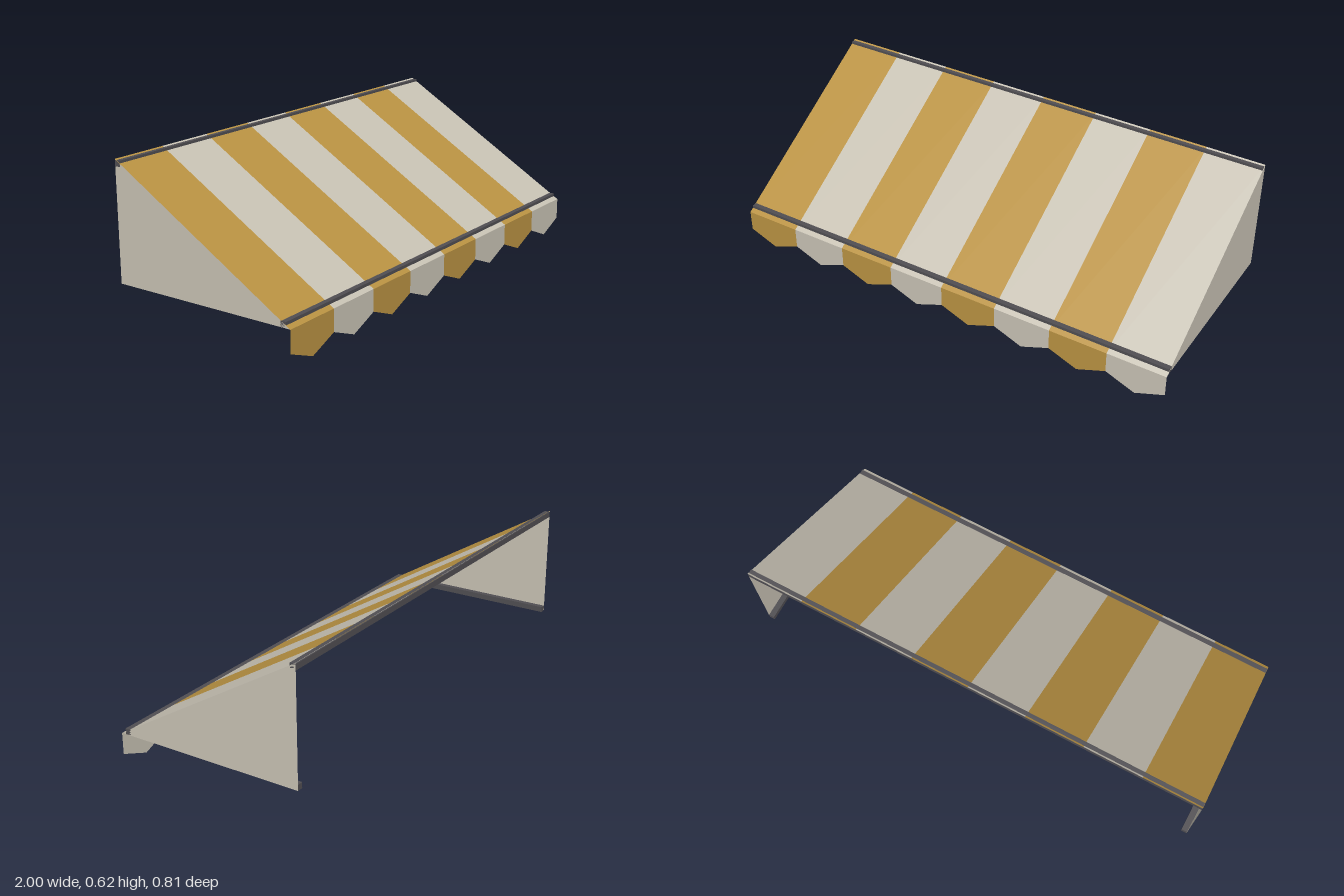
import * as THREE from 'three';

const mat = (name, color, side = THREE.DoubleSide) => {
  const m = new THREE.MeshStandardMaterial({ color, side });
  m.name = name;
  return m;
};

export function createModel() {
  const group = new THREE.Group();
  const gold = mat('goldCloth', 0xb99242);
  const cream = mat('creamCloth', 0xc8c2b4);
  const metal = mat('darkMetal', 0x504e52, THREE.FrontSide);

  const Z = 0.405, EAVE = 0.14, TOP = 0.625, STRIPES = 8, W = 2 / STRIPES, BAR = 0.024;

  const add = (name, geometry, material, x = 0, y = 0, z = 0) => {
    const mesh = new THREE.Mesh(geometry, material);
    mesh.name = name;
    mesh.position.set(x, y, z);
    group.add(mesh);
    return mesh;
  };
  const flat = (points) =>
    new THREE.ShapeGeometry(new THREE.Shape(points.map(([x, y]) => new THREE.Vector2(x, y))));

  // Striped sloping cloth with one pointed valance flap under each stripe
  const slopeLength = Math.hypot(2 * Z, TOP - EAVE);
  const tilt = -Math.atan2(2 * Z, TOP - EAVE);
  for (let i = 0; i < STRIPES; i++) {
    const x = -1 + (i + 0.5) * W;
    const cloth = i % 2 ? cream : gold;
    add('roofStripe', new THREE.PlaneGeometry(W, slopeLength), cloth, x, (TOP + EAVE) / 2, 0)
      .rotation.x = tilt;
    add('valanceFlap',
      flat([[-W / 2, 0.05], [0, 0], [W / 2, 0.05], [W / 2, EAVE], [-W / 2, EAVE]]),
      cloth, x, 0, Z);
  }

  // Triangular side cloths, with a bottom rail inside each
  const railFront = 0.386;
  for (const s of [-1, 1]) {
    const side = s > 0 ? 'left' : 'right';
    const points = [[-Z, EAVE], [Z, EAVE], [s * Z, TOP]];
    add(side + 'SideCloth', flat(points), cream, s * 0.999).rotation.y = s * Math.PI / 2;
    add(side + 'BottomRail', new THREE.BoxGeometry(BAR, BAR, railFront + Z), metal,
      s * (0.998 - BAR / 2), EAVE + BAR / 2, (railFront - Z) / 2);
  }

  // Front and wall rails, standing slightly proud of the cloth
  add('frontRail', new THREE.BoxGeometry(1.998, BAR, BAR), metal,
    0, EAVE + BAR / 2, railFront - BAR / 2);
  add('wallRail', new THREE.BoxGeometry(1.998, BAR, BAR), metal,
    0, 0.621 - BAR / 2, -Z + BAR / 2);

  return group;
}
